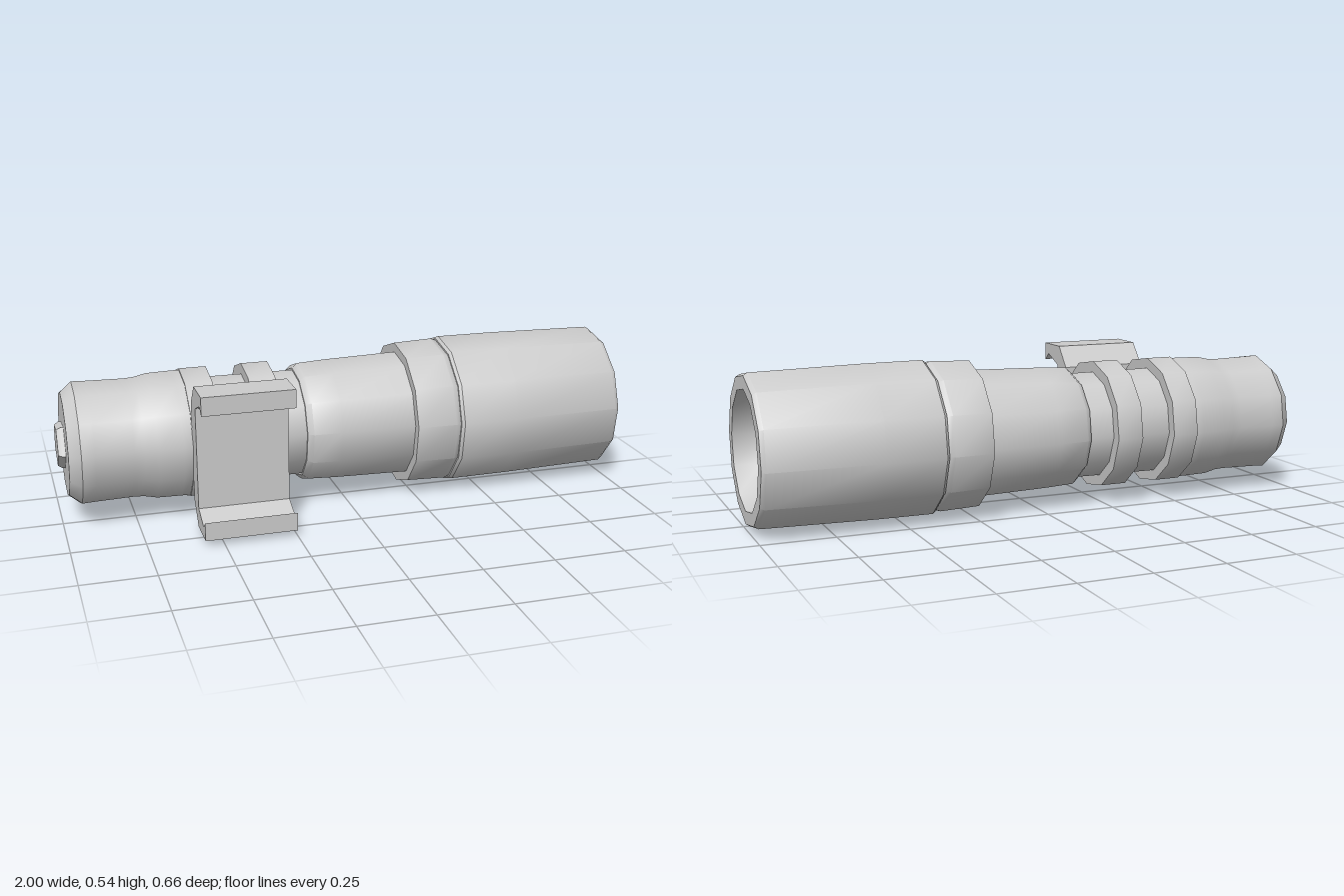
import * as THREE from 'three';
import { toCreasedNormals } from 'three/addons/utils/BufferGeometryUtils.js';

const CY = 0.272, CZ = -0.062; // axis of the torch

export function createModel() {
  const model = new THREE.Group();
  const material = new THREE.MeshStandardMaterial({ color: 0xcccccc });

  const add = (name, geometry, crease = 0.65) => {
    const mesh = new THREE.Mesh(toCreasedNormals(geometry, crease), material);
    mesh.name = name;
    model.add(mesh);
    return mesh;
  };

  // Turned part along x; profile is a list of [x, radius] running towards +x
  const turned = (name, profile, sides = 12, twist = -0.09) => {
    const points = profile.map(([x, r]) => new THREE.Vector2(r, x));
    const geometry = new THREE.LatheGeometry(points, sides);
    geometry.rotateZ(-Math.PI / 2).rotateX(twist).translate(0, CY, CZ);
    return add(name, geometry);
  };

  // Push button on the tail
  turned('tailButton', [[-1, 0], [-1, 0.075], [-0.985, 0.085], [-0.96, 0.085]], 5, 0.2);

  // Rounded tail cap with a stepped collar
  turned('tailCap', [
    [-0.975, 0], [-0.975, 0.182], [-0.935, 0.216], [-0.89, 0.214], [-0.76, 0.211],
    [-0.725, 0.213], [-0.68, 0.223], [-0.595, 0.225], [-0.565, 0.225], [-0.565, 0.18],
  ]);

  // Narrow grip under the clip bands
  turned('grip', [[-0.58, 0.194], [-0.15, 0.191]]);

  // Main barrel
  turned('barrel', [[-0.16, 0.18], [-0.16, 0.198], [-0.14, 0.214], [-0.04, 0.219], [0.24, 0.226]]);

  // Collar behind the head
  turned('headCollar', [[0.225, 0.21], [0.225, 0.259], [0.365, 0.264], [0.38, 0.258], [0.395, 0.25]]);

  // Head with recessed front opening
  turned('head', [
    [0.385, 0.24], [0.385, 0.262], [0.395, 0.27], [0.6, 0.269], [0.985, 0.261],
    [1, 0.252], [1, 0.207], [0.91, 0.197],
  ]);

  // Shallow domed lens
  turned('lens', [[0.905, 0.203], [0.922, 0.15], [0.934, 0.08], [0.938, 0]]);

  // Two bands that hold the clip
  for (const [name, x0, x1] of [['rearBand', -0.565, -0.47], ['frontBand', -0.345, -0.25]]) {
    turned(name, [[x0, 0.17], [x0, 0.23], [x1, 0.23], [x1, 0.17]]);
  }

  // Hooked mounting clip: half outline as [z, height above middle], mirrored below
  const half = [[0.145, 0.176], [0.205, 0.249], [0.33, 0.249], [0.33, 0.185], [0.3, 0.21], [0.22, 0.177]];
  const outline = [...half, ...half.map(([z, h]) => [z, -h]).reverse()];
  const shape = new THREE.Shape(outline.map(([z, h]) => new THREE.Vector2(-z, h)));
  const clip = new THREE.ExtrudeGeometry(shape, { depth: 0.315, bevelEnabled: false });
  clip.rotateY(Math.PI / 2).translate(-0.565, 0.273, 0);
  add('mountingClip', clip, 0.3);

  return model;
}
